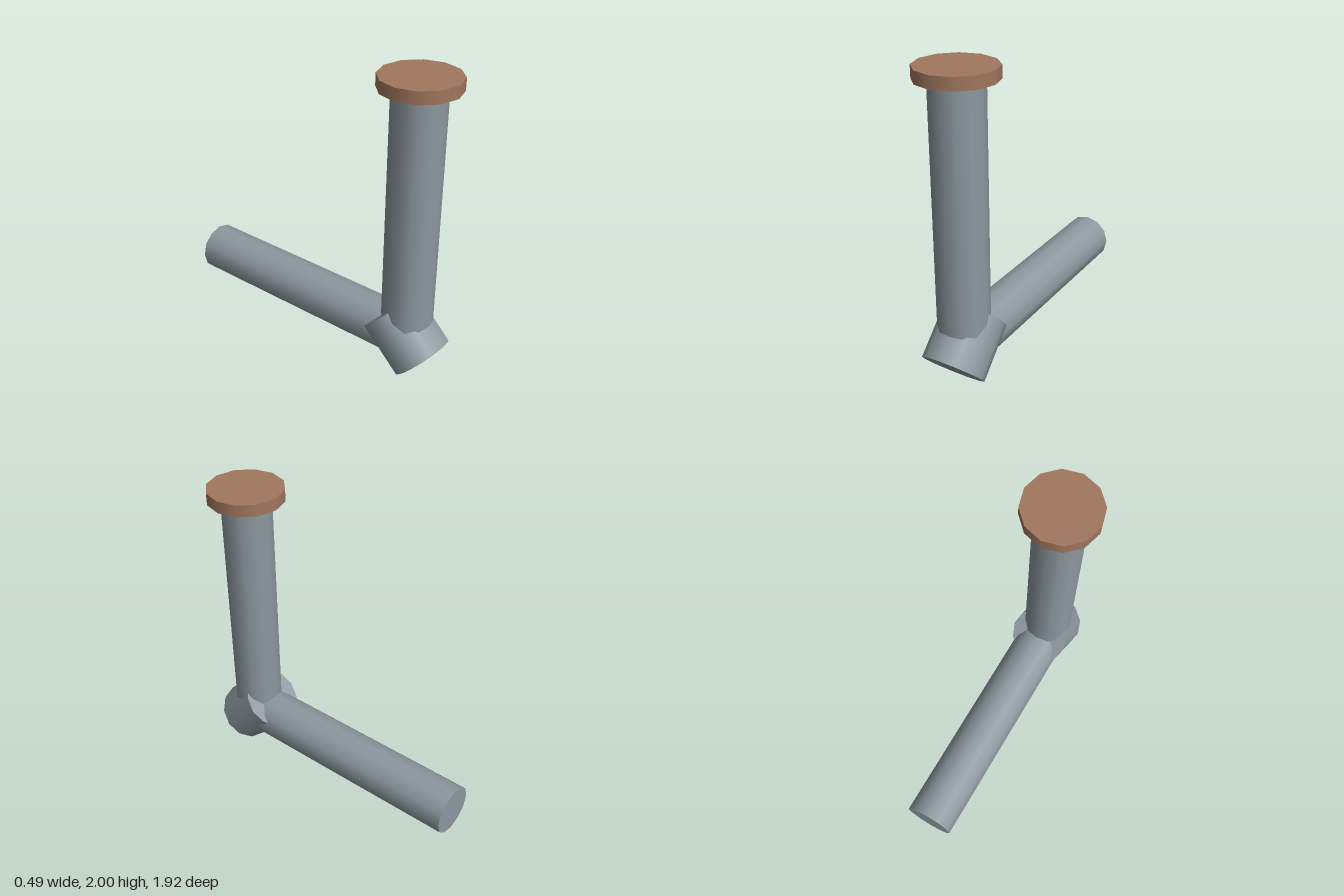
import * as THREE from 'three';

const SIDES = 12;
const JOINT = new THREE.Vector3(0, 0.275, 0.69); // where both pipes meet

export function createModel() {
  const group = new THREE.Group();
  const steel = new THREE.MeshStandardMaterial({ color: 0x8d989f });
  const copper = new THREE.MeshStandardMaterial({ color: 0xa0775e });

  // Twelve-sided cylinder running between two points
  function rod(name, radius, from, to, material) {
    const axis = to.clone().sub(from);
    const geometry = new THREE.CylinderGeometry(radius, radius, axis.length(), SIDES);
    const mesh = new THREE.Mesh(geometry, material);
    mesh.name = name;
    mesh.position.copy(from).add(to).multiplyScalar(0.5);
    mesh.quaternion.setFromUnitVectors(new THREE.Vector3(0, 1, 0), axis.normalize());
    group.add(mesh);
  }
  const at = (y, z) => new THREE.Vector3(0, y, z);

  // Upright and horizontal pipes, both starting inside the elbow
  rod('uprightPipe', 0.163, JOINT, at(1.925, JOINT.z), steel);
  rod('horizontalPipe', 0.163, at(0.272, JOINT.z), at(0.272, -0.957), steel);

  // Elbow collar, tilted 45 degrees between the pipes
  const half = new THREE.Vector3(0, 1, -1).setLength(0.182);
  rod('elbowCollar', 0.202, JOINT.clone().sub(half), JOINT.clone().add(half), steel);

  // Flat cap on top of the upright pipe
  rod('topCap', 0.245, at(1.923, JOINT.z), at(2, JOINT.z), copper);

  return group;
}
